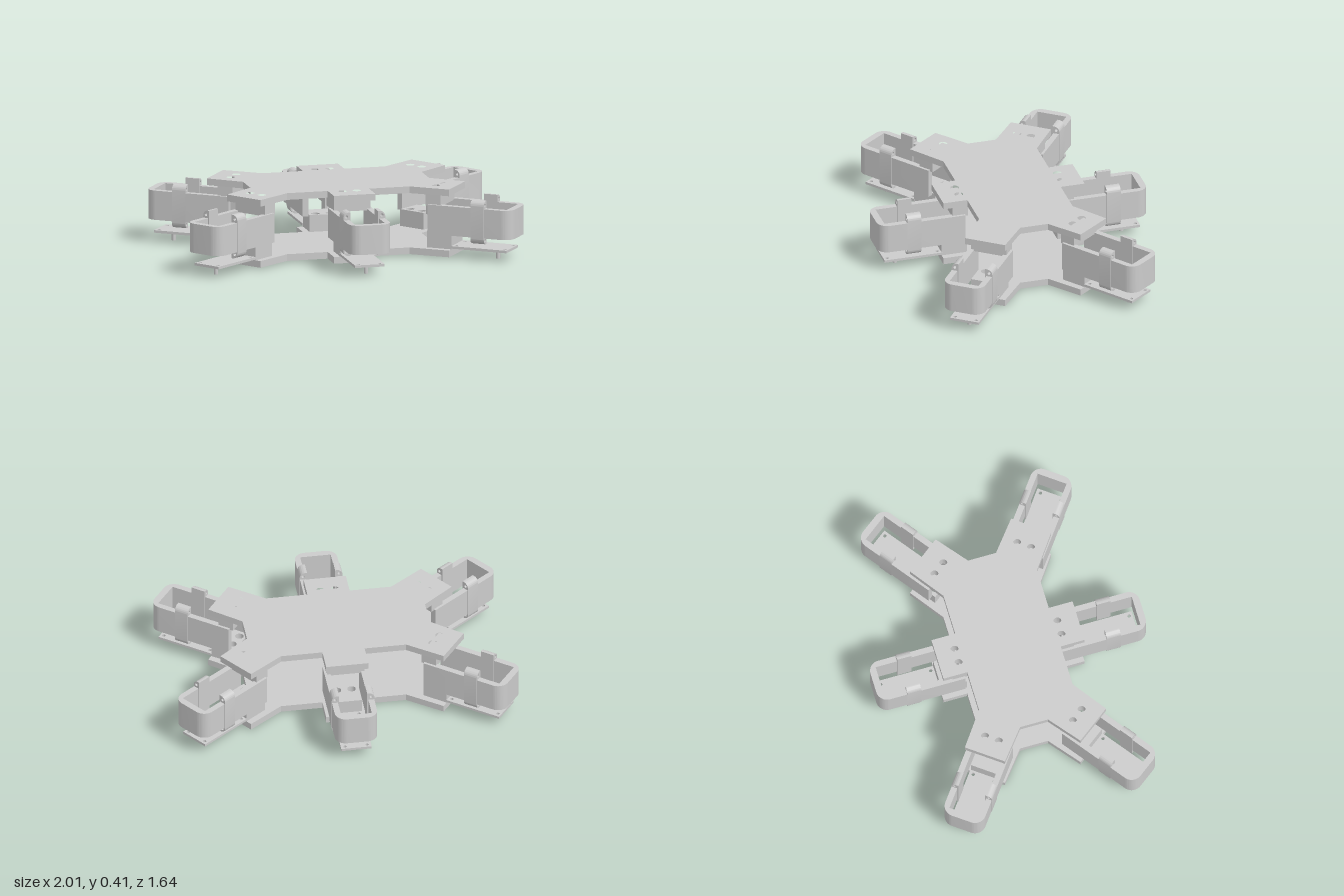
import * as THREE from 'three';
import { toCreasedNormals } from 'three/addons/utils/BufferGeometryUtils.js';

const material = new THREE.MeshStandardMaterial({ color: 0xcccccc });

function addMesh(parent, name, geometry) {
  const mesh = new THREE.Mesh(geometry, material);
  mesh.name = name;
  parent.add(mesh);
  return mesh;
}

const extrude = (shape, depth) => toCreasedNormals(
  new THREE.ExtrudeGeometry(shape, { depth, bevelEnabled: false, curveSegments: 10 }), 0.6);

// Plan outline (x, z) raised between two heights
function slab(shape, y0, y1) {
  return extrude(shape, y1 - y0).rotateX(Math.PI / 2).translate(0, y1, 0);
}

function polygon(points) {
  return new THREE.Shape(points.map(([x, y]) => new THREE.Vector2(x, y)));
}

const rectangle = (w, z0, z1) => polygon([[-w, z0], [w, z0], [w, z1], [-w, z1]]);

function drill(shape, x, y, r) {
  const hole = new THREE.Path();
  hole.absarc(x, y, r, 0, Math.PI * 2, true);
  shape.holes.push(hole);
}

// Leg placements: two straight, four diagonal
const tilt = Math.atan2(0.8, 0.6);
const legs = [{ x: 0, z: 0, a: 0 }, { x: 0, z: 0, a: Math.PI }];
for (const sx of [1, -1]) {
  for (const sz of [1, -1]) {
    legs.push({ x: sx * 0.301, z: sz * 0.072, a: sx * (sz > 0 ? tilt : Math.PI - tilt) });
  }
}

// Six-armed plate, with one or more rows of bolt holes in each arm
function plateShape(rows) {
  const q = [[0.125, 0.43], [0.125, 0.285], [0.37, 0.285], [0.57, 0.43], [0.72, 0.23], [0.54, 0.085]];
  const back = [...q].reverse();
  const shape = polygon([
    ...q,
    ...back.map(([x, z]) => [x, -z]),
    ...q.map(([x, z]) => [-x, -z]),
    ...back.map(([x, z]) => [-x, z]),
  ]);
  for (const { x, z, a } of legs) {
    for (const s of rows) {
      for (const t of [-0.043, 0.043]) {
        drill(shape, x + t * Math.cos(a) + s * Math.sin(a), z - t * Math.sin(a) + s * Math.cos(a), 0.025);
      }
    }
  }
  return shape;
}

// Open-ended frame with rounded outer corners
function frameShape() {
  const w = 0.125, end = 0.82, start = 0.295, r = 0.065, inner = 0.09;
  const s = new THREE.Shape();
  s.moveTo(inner, start);
  s.lineTo(w, start);
  s.lineTo(w, end - r);
  s.absarc(w - r, end - r, r, 0, Math.PI / 2, false);
  s.lineTo(-w + r, end);
  s.absarc(-w + r, end - r, r, Math.PI / 2, Math.PI, false);
  s.lineTo(-w, start);
  s.lineTo(-inner, start);
  s.lineTo(-inner, 0.78);
  s.lineTo(inner, 0.78);
  s.closePath();
  return s;
}

// Side clip seen along the leg, rounded on its outer edge
function clipShape() {
  const x0 = 0.083, x1 = 0.127, y0 = 0.1, y1 = 0.36, r = 0.034;
  const s = new THREE.Shape();
  s.moveTo(x0, y0);
  s.lineTo(x1 - r, y0);
  s.absarc(x1 - r, y0 + r, r, -Math.PI / 2, 0, false);
  s.lineTo(x1, y1 - r);
  s.absarc(x1 - r, y1 - r, r, 0, Math.PI / 2, false);
  s.lineTo(x0, y1);
  s.closePath();
  drill(s, 0.107, 0.335, 0.009);
  drill(s, 0.107, 0.125, 0.009);
  return s;
}

function createLeg() {
  const leg = new THREE.Group();
  leg.name = 'leg';
  addMesh(leg, 'frame', slab(frameShape(), 0.14, 0.315));

  // Spacer blocks joining the frame to the plates
  const upper = rectangle(0.11, 0.275, 0.37);
  const lower = rectangle(0.087, 0.275, 0.43);
  for (const t of [-0.043, 0.043]) {
    drill(upper, t, 0.313, 0.025);
    drill(lower, t, 0.313, 0.025);
  }
  addMesh(leg, 'upperSpacer', slab(upper, 0.305, 0.376));
  addMesh(leg, 'lowerSpacer', slab(lower, 0.049, 0.15));

  // Thin base board with corner holes
  const board = rectangle(0.09, 0.425, 0.778);
  for (const x of [-0.065, 0.065]) {
    for (const z of [0.452, 0.757]) drill(board, x, z, 0.01);
  }
  addMesh(leg, 'baseBoard', slab(board, 0.055, 0.07));
  addMesh(leg, 'footPin', new THREE.CylinderGeometry(0.012, 0.012, 0.058, 16)).position.set(0, 0.029, 0.69);

  // Clips on both side walls
  for (const side of [0, 1]) {
    const clip = extrude(clipShape(), 0.085).translate(0, 0, -0.0425);
    if (side) clip.rotateY(Math.PI);
    addMesh(leg, 'sideClip', clip).position.z = 0.6075;
  }
  return leg;
}

export function createModel() {
  const model = new THREE.Group();
  model.name = 'sixArmedChassis';
  addMesh(model, 'topPlate', slab(plateShape([0.313]), 0.375, 0.415));
  addMesh(model, 'bottomPlate', slab(plateShape([0.313, 0.39]), 0.01, 0.05));

  const leg = createLeg();
  for (const { x, z, a } of legs) {
    const copy = leg.clone();
    copy.position.set(x, 0, z);
    copy.rotation.y = a;
    model.add(copy);
  }
  return model;
}
